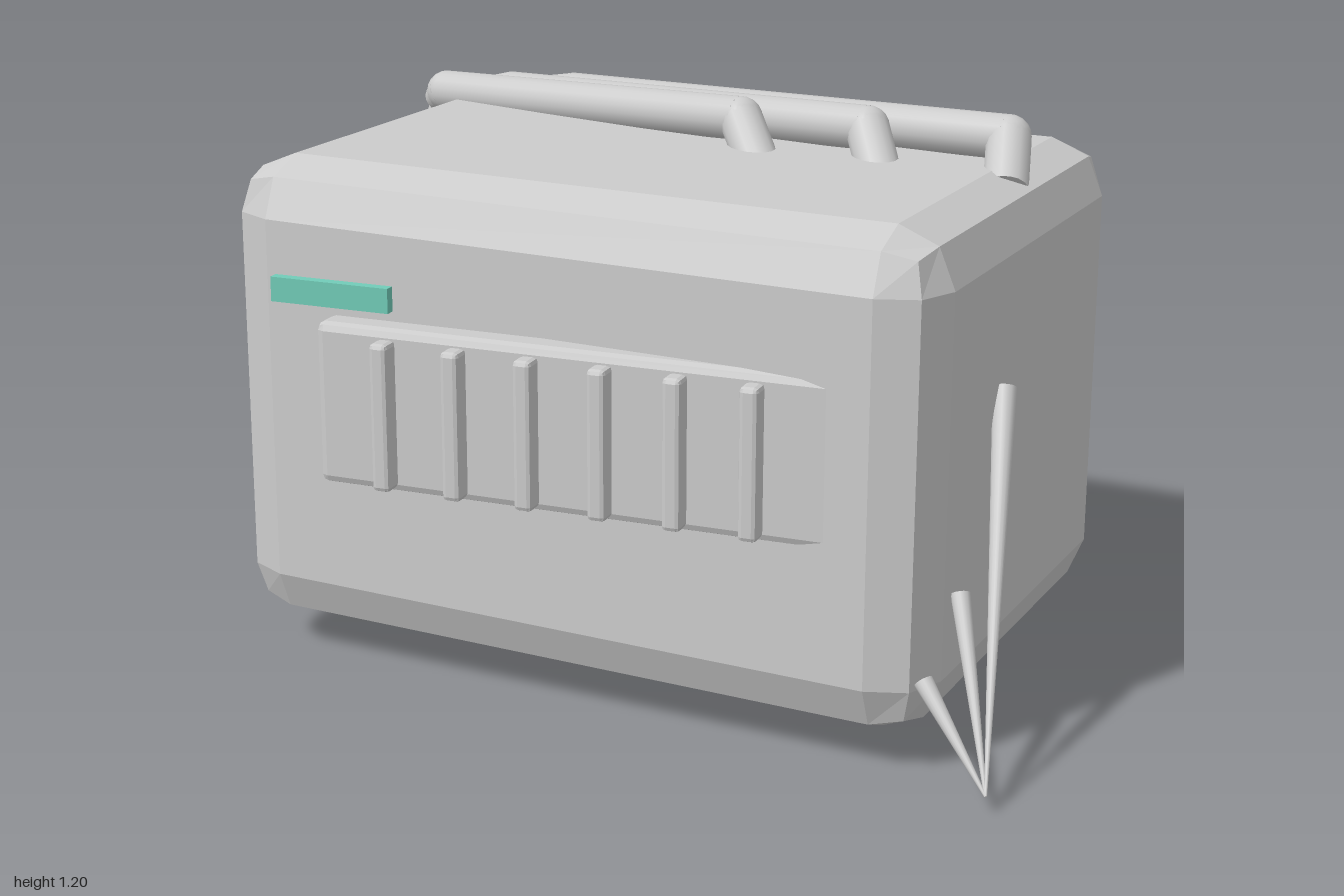
import * as THREE from 'three';
import { RoundedBoxGeometry } from 'three/addons/geometries/RoundedBoxGeometry.js';

const V = (p) => new THREE.Vector3(...p);

export function createModel() {
  const model = new THREE.Group();
  model.name = 'machineCase';
  const grey = new THREE.MeshStandardMaterial({ color: 0xcccccc });
  grey.name = 'caseGrey';
  const teal = new THREE.MeshStandardMaterial({ color: 0x72ccb8 });
  teal.name = 'labelTeal';

  const add = (name, geometry, material, position = [0, 0, 0], parent = model) => {
    const mesh = new THREE.Mesh(geometry, material);
    mesh.name = name;
    mesh.position.set(...position);
    parent.add(mesh);
    return mesh;
  };

  // Box with faceted, chamfered edges
  const bevelBox = (w, h, d, r) => {
    const g = new RoundedBoxGeometry(w, h, d, 1, r);
    g.computeVertexNormals();
    return g;
  };

  // Straight round rod from a to b with a radius at each end
  const rod = (name, a, b, ra, rb, parent) => {
    const dir = V(b).sub(V(a));
    const mesh = add(name, new THREE.CylinderGeometry(rb, ra, dir.length(), 16), grey,
      V(a).add(V(b)).multiplyScalar(0.5).toArray(), parent);
    mesh.quaternion.setFromUnitVectors(new THREE.Vector3(0, 1, 0), dir.normalize());
    return mesh;
  };

  // Main case, turned slightly
  const body = add('case', bevelBox(1.62, 1.04, 1.14, 0.12), grey, [0.09, 0.63, -0.037]);
  body.rotation.y = -0.1;

  // Front vent panel with upright ribs
  const vent = new THREE.Group();
  vent.name = 'frontVent';
  model.add(vent);
  add('ventPanel', bevelBox(1.135, 0.35, 0.08, 0.018), grey, [0.093, 0.683, 0.55], vent);
  for (let i = 0; i < 6; i++) {
    add('ventRib', bevelBox(0.04, 0.316, 0.05, 0.01), grey, [-0.305 + i * 0.159, 0.683, 0.62], vent);
  }

  // Teal label plate standing off the front
  add('label', new THREE.BoxGeometry(0.265, 0.052, 0.022), teal, [-0.405, 0.938, 0.642]);

  // Three cables lying across the top and gathering at the side edge
  const cables = new THREE.Group();
  cables.name = 'cables';
  model.add(cables);
  const gather = [-0.67, 1.13, -0.405];
  const cableRuns = [
    { foot: [0.81, 1.11, -0.05], bend: [0.79, 1.2, -0.145], end: [-0.32, 1.165, -0.42] },
    { foot: [0.54, 1.11, -0.05], bend: [0.485, 1.2, -0.13], end: [-0.47, 1.16, -0.405] },
    { foot: [0.27, 1.11, -0.05], bend: [0.2, 1.2, -0.125], end: [-0.63, 1.155, -0.385] },
  ];
  for (const { foot, bend, end } of cableRuns) {
    rod('cableFoot', foot, bend, 0.048, 0.048, cables);
    rod('cableRun', bend, end, 0.048, 0.048, cables);
    rod('cableTail', end, gather, 0.048, 0.03, cables);
    add('cableElbow', new THREE.SphereGeometry(0.048, 16, 10), grey, bend, cables);
    add('cableElbow', new THREE.SphereGeometry(0.048, 16, 10), grey, end, cables);
  }

  // Hanging bundle that widens from the gathered point
  for (const end of [[-0.94, 0.075, -0.42], [-0.876, 0.055, -0.4], [-0.9, 0.065, -0.465]]) {
    rod('hangingCable', gather, end, 0.012, 0.06, cables);
  }

  // Thin spikes fanning from one point into the side of the case
  const tip = [0.99, 0.08, 0.66];
  for (const [base, r] of [[[0.885, 0.76, 0.2], 0.025], [[0.87, 0.4, 0.44], 0.02], [[0.83, 0.25, 0.55], 0.02]]) {
    rod('sideSpike', base, tip, r, 0.003);
  }

  return model;
}
